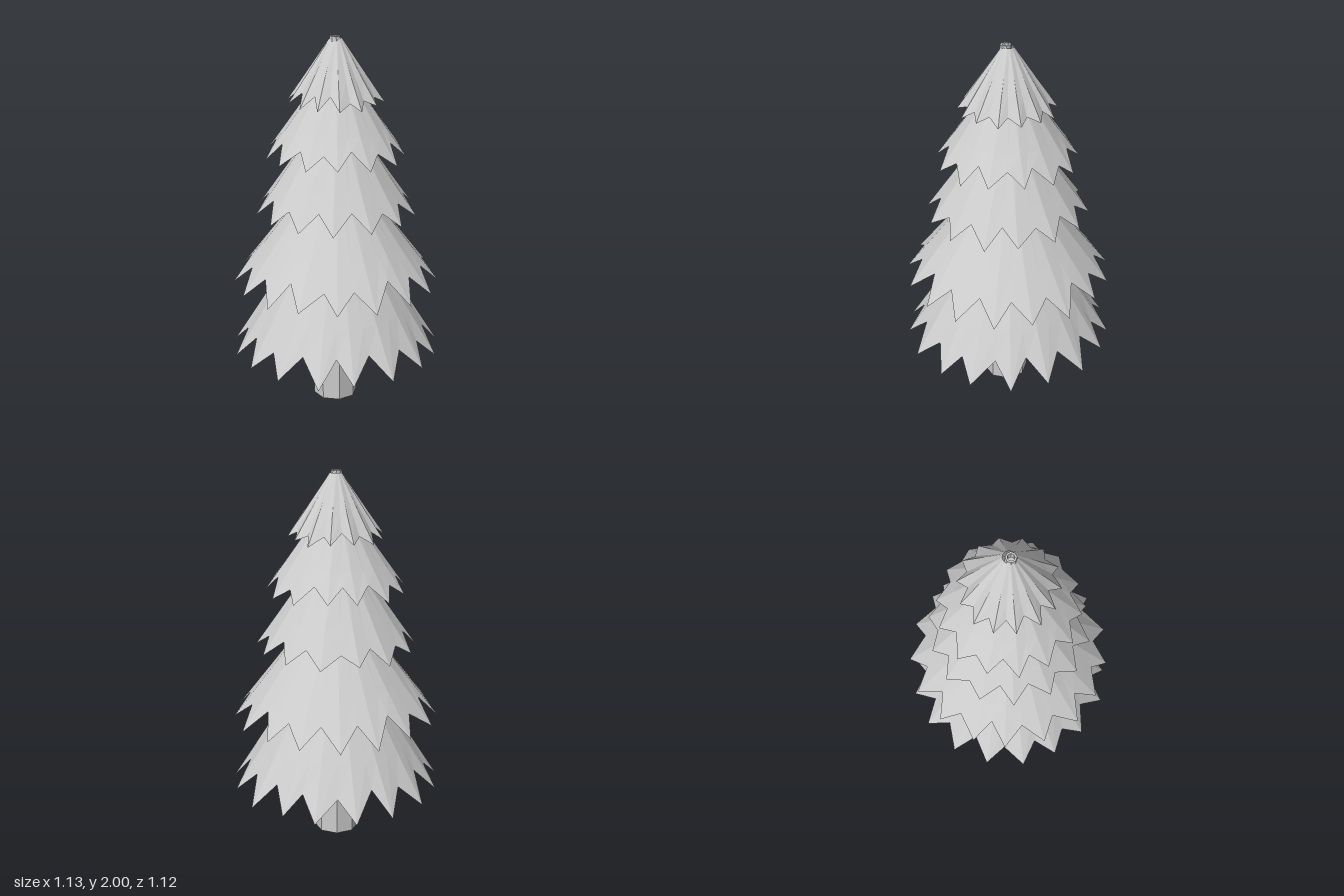
import * as THREE from 'three';

const bark = new THREE.MeshStandardMaterial({ color: 0xcccccc, flatShading: true, side: THREE.DoubleSide });
const foliage = bark.clone();

// Small seeded generator for the irregular teeth
function seeded(seed) {
  let s = seed;
  return () => (s = (s * 16807) % 2147483647) / 2147483647;
}

// Open cone skirt with a toothed hem; ridges run up from the tooth tips
function makeSkirt({ name, teeth, tip, notch, top, pleat, turn, seed }) {
  const rand = seeded(seed);
  const steps = teeth * 2;
  const rows = [[], [], []];
  const k = 0.42; // height of the crease row along the slope
  for (let i = 0; i < steps; i++) {
    const isTip = i % 2 === 0;
    const a = turn + ((i + (rand() - 0.5) * 0.3) / steps) * Math.PI * 2;
    const fold = isTip ? 0 : pleat;
    const [r, y] = isTip ? tip : notch;
    const lift = rand() * (isTip ? 0.02 : 0.035);
    const ring = [
      [(r - lift * 0.6) * (1 - fold), y + lift],
      [THREE.MathUtils.lerp(tip[0], top[0], k) * (1 - fold), THREE.MathUtils.lerp(tip[1], top[1], k)],
      top,
    ];
    ring.forEach(([radius, height], j) =>
      rows[j].push(new THREE.Vector3(Math.sin(a) * radius, height, Math.cos(a) * radius)));
  }
  const points = [];
  for (let j = 0; j < 2; j++) {
    const low = rows[j], high = rows[j + 1];
    for (let i = 0; i < steps; i++) {
      const n = (i + 1) % steps;
      points.push(low[i], low[n], high[n], low[i], high[n], high[i]);
    }
  }
  const geometry = new THREE.BufferGeometry().setFromPoints(points);
  geometry.computeVertexNormals();
  const mesh = new THREE.Mesh(geometry, foliage);
  mesh.name = name;
  return mesh;
}

export function createModel() {
  const tree = new THREE.Group();
  tree.name = 'firTree';

  // Hollow-ended eight-sided trunk, tapering to the tip
  const profile = [
    [0, 0.12], [0.085, 0.12], [0.085, 0], [0.12, 0], [0.12, 0.45],
    [0.06, 1.45], [0.028, 2], [0.018, 2], [0.018, 1.96], [0, 1.96],
  ].map(([r, y]) => new THREE.Vector2(r, y));
  const trunk = new THREE.Mesh(new THREE.LatheGeometry(profile, 8), bark);
  trunk.name = 'trunk';
  trunk.position.set(-0.005, 0, 0.01);
  tree.add(trunk);

  // Branch tiers from bottom to top: [radius, height] of tooth tips, notches and upper rim
  const tiers = [
    { teeth: 17, tip: [0.57, 0.28], notch: [0.495, 0.39], top: [0.17, 0.92], pleat: 0.015, turn: 0 },
    { teeth: 17, tip: [0.56, 0.67], notch: [0.48, 0.775], top: [0.14, 1.22], pleat: 0.015, turn: 0.214 },
    { teeth: 14, tip: [0.435, 1.06], notch: [0.385, 1.13], top: [0.13, 1.5], pleat: 0.025, turn: -0.2 },
    { teeth: 14, tip: [0.38, 1.37], notch: [0.335, 1.435], top: [0.11, 1.75], pleat: 0.025, turn: -0.15 },
    { teeth: 14, tip: [0.262, 1.65], notch: [0.23, 1.69], top: [0.03, 1.99], pleat: 0.07, turn: -0.1 },
  ];
  tiers.forEach((tier, i) => {
    tree.add(makeSkirt({ ...tier, name: `branchTier${i + 1}`, seed: 911 + i * 7919 }));
  });

  return tree;
}
